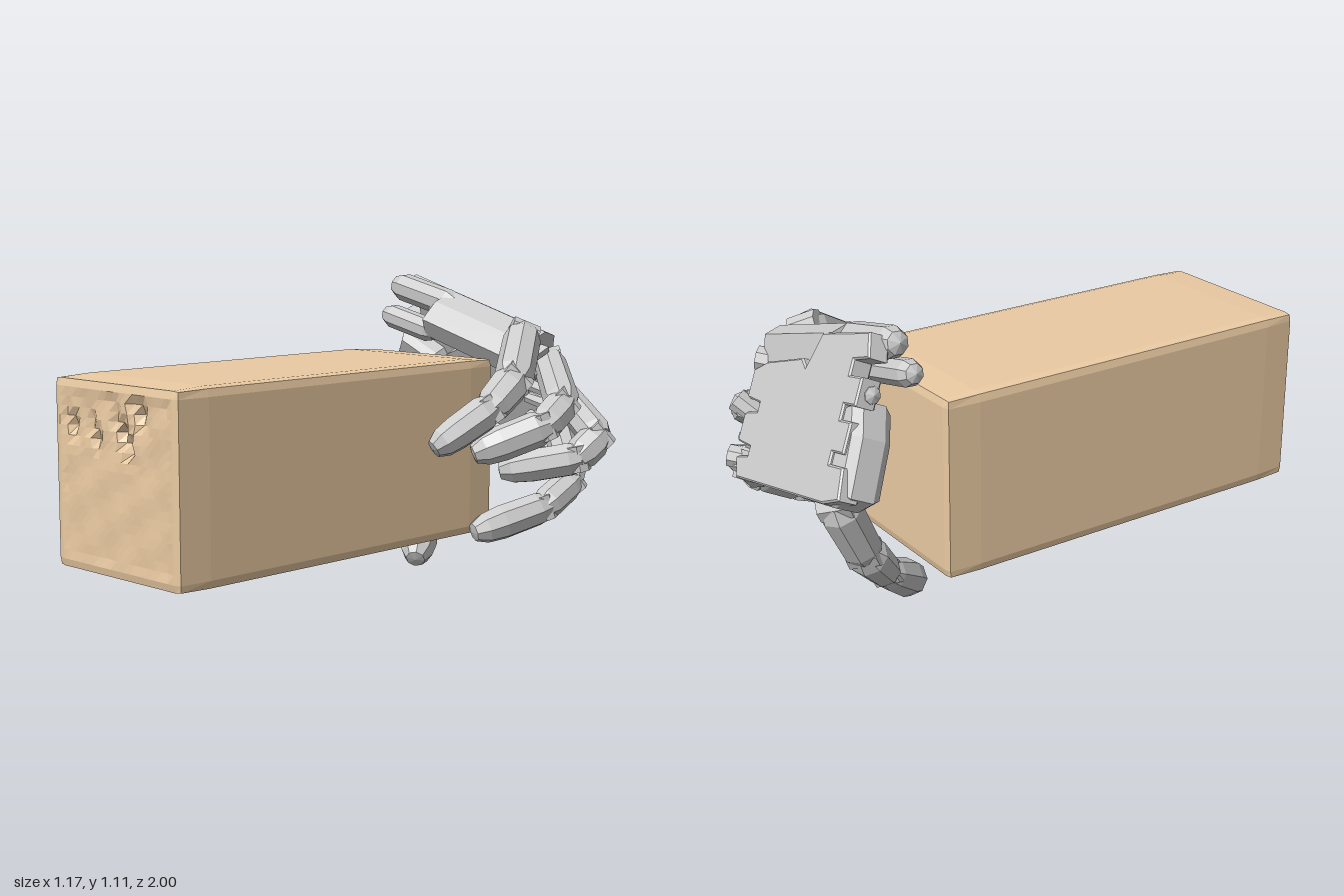
import * as THREE from 'three';

const grey = new THREE.MeshStandardMaterial({ color: 0xcccccc, flatShading: true });
const wood = new THREE.MeshStandardMaterial({ color: 0xebcba3, flatShading: true });
const V = (a) => new THREE.Vector3(...a);

function add(parent, name, geo, mat = grey, pos = [0, 0, 0], rot = [0, 0, 0]) {
  const m = new THREE.Mesh(geo, mat);
  m.name = name;
  m.position.set(...pos);
  m.rotation.set(...rot);
  parent.add(m);
  return m;
}

// long beam with softened edges and a rough hewn front end
function woodBlock() {
  const w = 0.648, h = 0.65, d = 1.5, r = 0.022;
  const dents = [[-0.23, 0.17], [-0.11, 0.15], [0.02, 0.18], [0.06, 0.12], [0.12, 0.24]];
  const g = new THREE.BoxGeometry(w, h, d, 20, 20, 12);
  const p = g.attributes.position;
  const half = new THREE.Vector3(w / 2 - r, h / 2 - r, d / 2 - r);
  const v = new THREE.Vector3(), c = new THREE.Vector3();
  for (let i = 0; i < p.count; i++) {
    v.fromBufferAttribute(p, i);
    const front = v.z > d / 2 - 0.001 && Math.abs(v.x) < 0.29 && Math.abs(v.y) < 0.29;
    c.copy(v).clamp(half.clone().negate(), half);
    v.sub(c);
    if (v.lengthSq() > 0) v.setLength(r);
    v.add(c);
    if (front) {
      // soft slanted waves, stronger toward the top, plus a few chips
      const rough = 0.003 + 0.007 * Math.max(0, v.y + 0.1);
      v.z -= rough * (1 + Math.sin(v.x * 31 - v.y * 14) * Math.cos(v.y * 23 + v.x * 9));
      for (const [x, y] of dents)
        v.z -= 0.03 * Math.exp(-(((v.x - x + (v.y - y) * 0.4) / 0.02) ** 2) - ((v.y - y) / 0.05) ** 2);
      v.x += 0.006 * Math.sin(v.y * 60 + v.x * 25);
    }
    p.setXYZ(i, v.x, v.y, v.z);
  }
  g.computeVertexNormals();
  return g;
}

// faceted shell between two points, tapering from ra to rb
function phalanx(parent, name, a, b, ra, rb, tip) {
  const A = V(a), B = V(b), dir = B.clone().sub(A), L = dir.length();
  const pts = tip
    ? [[0, -0.02], [ra * 0.75, -0.02], [ra, 0.025], [rb * 1.12, L * 0.6], [rb * 0.98, L * 0.84], [rb * 0.6, L], [0, L + 0.005]]
    : [[0, -0.02], [ra * 0.7, -0.02], [ra, 0.03], [rb, L - 0.03], [rb * 0.75, L + 0.01], [0, L + 0.01]];
  const g = new THREE.LatheGeometry(pts.map(([x, y]) => new THREE.Vector2(x, y)), 8);
  g.rotateY(Math.PI / 8);
  const m = add(parent, name, g, grey, a);
  m.quaternion.setFromUnitVectors(new THREE.Vector3(0, 1, 0), dir.normalize());
}

// chain of shells with hinge pins at the bends
function finger(parent, name, pts, r) {
  const f = new THREE.Group();
  f.name = name;
  for (let i = 0; i < pts.length - 1; i++) {
    const last = i === pts.length - 2;
    phalanx(f, last ? 'fingertip' : 'phalanx', pts[i], pts[i + 1], r[i], r[i + 1], last);
    const pin = add(f, 'hingePin', new THREE.CylinderGeometry(r[i] * 0.72, r[i] * 0.72, r[i] * 1.5, 8), grey, pts[i]);
    const axis = V(pts[i + 1]).sub(V(pts[i])).cross(new THREE.Vector3(1, 0, 1)).normalize();
    pin.quaternion.setFromUnitVectors(new THREE.Vector3(0, 1, 0), axis);
  }
  parent.add(f);
}

function shapeOf(pts) {
  return new THREE.Shape(pts.map(([x, y]) => new THREE.Vector2(x, y)));
}

// palm, built flat: x toward the fingers, y toward the first finger, z to the inside
function buildPalm() {
  const palm = new THREE.Group();
  palm.name = 'palm';
  const plate = shapeOf([
    [-0.3, -0.26], [0.32, -0.26], [0.35, -0.2], [0.27, -0.19], [0.27, -0.15], [0.37, -0.14],
    [0.37, -0.05], [0.28, -0.04], [0.28, 0.0], [0.38, 0.01], [0.38, 0.1], [0.3, 0.13],
    [0.06, 0.16], [0.02, 0.13], [-0.04, 0.25], [-0.33, 0.27], [-0.36, 0.2], [-0.27, 0.19], [-0.27, 0.13], [-0.35, 0.13],
    [-0.35, 0.05], [-0.28, 0.05], [-0.28, -0.01], [-0.35, -0.01], [-0.35, -0.1],
    [-0.28, -0.1], [-0.28, -0.15], [-0.37, -0.15], [-0.39, -0.24],
  ]);
  add(palm, 'backPlate', new THREE.ExtrudeGeometry(plate, {
    depth: 0.06, bevelEnabled: true, bevelSize: 0.006, bevelThickness: 0.006, bevelSegments: 1,
  }));

  // thick rail along the first finger's side, section in y and z
  const rail = shapeOf([[0.15, 0.02], [0.24, 0], [0.285, 0.05], [0.29, 0.15], [0.25, 0.23], [0.17, 0.22], [0.12, 0.15]]);
  const railGeo = new THREE.ExtrudeGeometry(rail, { depth: 0.47, bevelEnabled: false });
  railGeo.applyMatrix4(new THREE.Matrix4().makeBasis(V([0, 1, 0]), V([0, 0, 1]), V([1, 0, 0])));
  add(palm, 'sideRail', railGeo, grey, [-0.1, 0.02, 0], [0, 0, -0.07]);

  // diagonal braces on the inside
  for (const [x, y, a] of [[-0.04, 0.18, -0.85], [0.04, 0.1, 0.6]])
    add(palm, 'brace', new THREE.BoxGeometry(0.24, 0.06, 0.1), grey, [x, y, 0.09], [0, 0, a]);

  // rounded wrist lugs: two large ones on the rail, small ones along the wrist edge
  for (const [x, y, z, len, r] of [[-0.2, 0.265, 0.085, 0.24, 0.055], [-0.2, 0.19, 0.185, 0.2, 0.047],
    [-0.28, 0.09, 0.045, 0.1, 0.04], [-0.28, -0.055, 0.045, 0.1, 0.04]]) {
    const g = new THREE.CapsuleGeometry(r, len, 2, 8);
    g.rotateZ(Math.PI / 2);
    add(palm, 'wristLug', g, grey, [x, y, z]);
  }

  // thumb mound on the lower wrist corner
  const mound = shapeOf([[-0.4, -0.23], [-0.32, -0.27], [-0.1, -0.27], [-0.06, -0.18], [-0.16, 0.02], [-0.33, 0.07], [-0.38, -0.04]]);
  add(palm, 'thumbMound', new THREE.ExtrudeGeometry(mound, {
    depth: 0.08, bevelThickness: 0.03, bevelSize: 0.02, bevelOffset: -0.02, bevelSegments: 1,
  }), grey, [0, 0, 0.035]);

  // paired knuckle forks
  for (const [x, y, z] of [[0.36, 0.18, 0.12], [0.36, 0.06, 0.06], [0.34, -0.09, 0.05], [0.31, -0.22, 0.05]])
    for (const s of [-1, 1])
      add(palm, 'knuckleFork', new THREE.BoxGeometry(0.12, 0.022, 0.09), grey, [x, y + s * 0.038, z]);

  const Z = V([-0.1, -0.42, 0.9]).normalize();
  const Y = Z.clone().cross(V([0.97, -0.23, 0])).normalize();
  const X = Y.clone().cross(Z);
  palm.quaternion.setFromRotationMatrix(new THREE.Matrix4().makeBasis(X, Y, Z));
  palm.position.set(-0.14, 0.79, -0.875);
  return palm;
}

export function createModel() {
  const model = new THREE.Group();
  model.name = 'handHoldingBeam';
  add(model, 'woodenBeam', woodBlock(), wood, [-0.11, 0.506, 0.25]);

  const hand = new THREE.Group();
  hand.name = 'mechanicalHand';
  model.add(hand);
  hand.add(buildPalm());

  finger(hand, 'firstFinger', [[0.24, 0.91, -0.64], [0.385, 0.765, -0.41], [0.38, 0.67, -0.28], [0.29, 0.54, -0.09]], [0.07, 0.072, 0.066, 0.056]);
  finger(hand, 'secondFinger', [[0.26, 0.81, -0.77], [0.47, 0.67, -0.59], [0.475, 0.6, -0.47], [0.32, 0.505, -0.27]], [0.062, 0.066, 0.066, 0.058]);
  finger(hand, 'thirdFinger', [[0.24, 0.67, -0.88], [0.52, 0.54, -0.74], [0.5, 0.47, -0.64], [0.27, 0.415, -0.48]], [0.06, 0.064, 0.064, 0.056]);
  finger(hand, 'littleFinger', [[0.18, 0.52, -0.94], [0.365, 0.35, -0.79], [0.355, 0.27, -0.63], [0.24, 0.195, -0.37]], [0.056, 0.06, 0.062, 0.058]);
  finger(hand, 'thumb', [[-0.34, 0.53, -0.86], [-0.31, 0.31, -0.75], [-0.23, 0.16, -0.62], [-0.115, 0.03, -0.44]], [0.075, 0.07, 0.058, 0.062]);
  return model;
}
